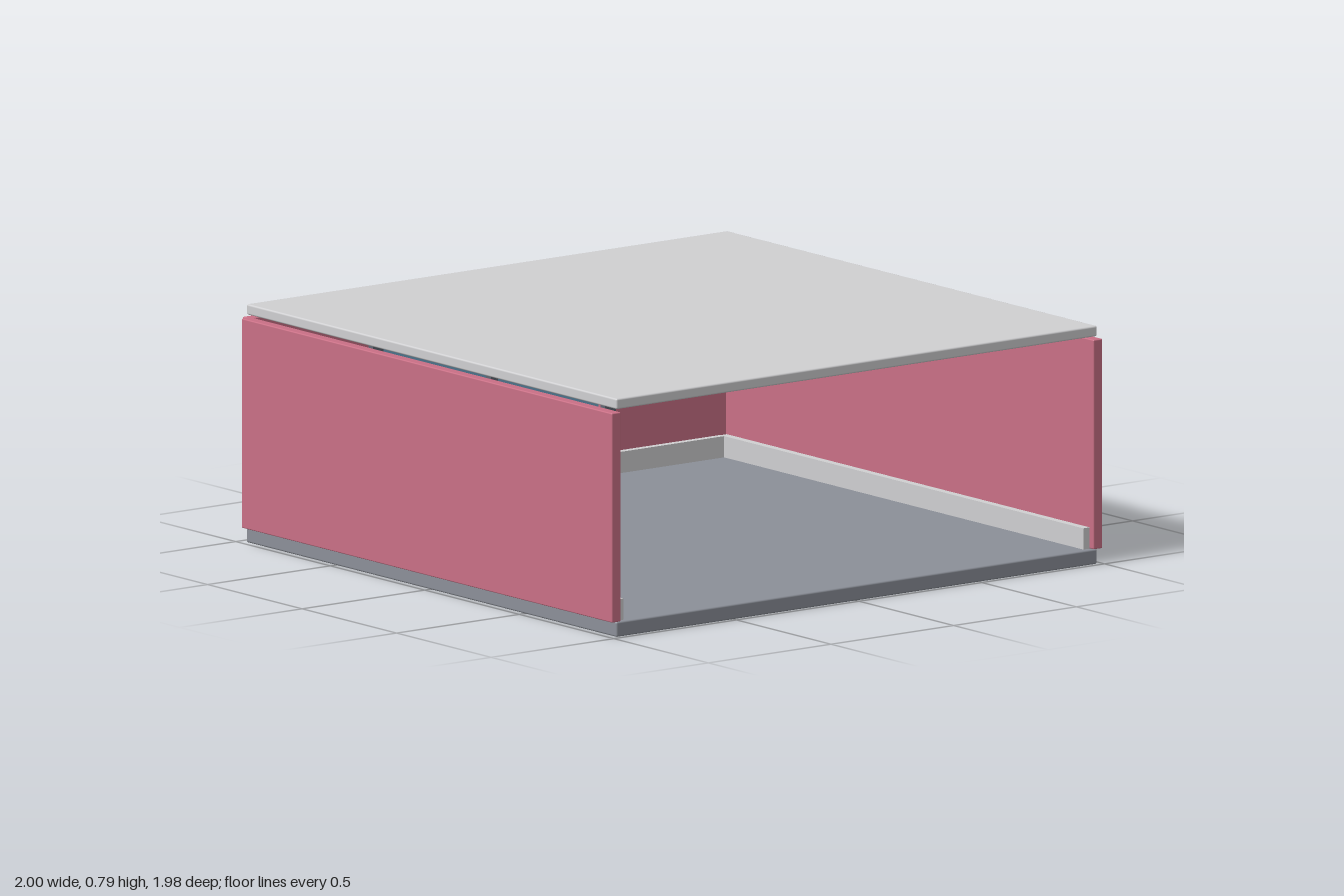
import * as THREE from 'three';
import { RoundedBoxGeometry } from 'three/addons/geometries/RoundedBoxGeometry.js';

const paint = (name, color) => {
  const m = new THREE.MeshStandardMaterial({ color });
  m.name = name;
  return m;
};

export function createModel() {
  const wall = paint('rose wall', 0xca7086);
  const light = paint('pale grey', 0xd0d0d2);
  const floorGrey = paint('floor grey', 0x8c9099);
  const frameGrey = paint('frame grey', 0x5e6773);
  const glass = paint('window blue', 0x72a9ca);

  const model = new THREE.Group();
  model.name = 'room';

  // Box between two corners, with a slight bevel if asked for
  const box = (name, mat, [x0, x1], [y0, y1], [z0, z1], bevel = 0) => {
    const size = [x1 - x0, y1 - y0, z1 - z0];
    const geo = bevel ? new RoundedBoxGeometry(...size, 2, bevel) : new THREE.BoxGeometry(...size);
    const mesh = new THREE.Mesh(geo, mat);
    mesh.name = name;
    mesh.position.set((x0 + x1) / 2, (y0 + y1) / 2, (z0 + z1) / 2);
    model.add(mesh);
  };
  const mirrored = (name, mat, [x0, x1], y, z, bevel) => {
    box(name + 'Left', mat, [x0, x1], y, z, bevel);
    box(name + 'Right', mat, [-x1, -x0], y, z, bevel);
  };

  // Floor and ceiling slabs
  box('floor', floorGrey, [-0.98, 0.98], [0, 0.05], [-0.97, 0.988], 0.006);
  box('ceiling', light, [-0.98, 0.98], [0.75, 0.785], [-0.97, 0.988], 0.006);

  // Side walls
  mirrored('sideWall', wall, [0.963, 1], [0.05, 0.74], [-0.97, 0.99], 0.004);

  // Back wall: two outer panels and pieces above and below the window
  const backZ = [-0.99, -0.953];
  mirrored('backPanel', wall, [0.453, 0.98], [0.05, 0.74], backZ, 0.004);
  box('wallBelowWindow', wall, [-0.45, 0.45], [0.05, 0.255], backZ, 0.004);
  box('wallAboveWindow', wall, [-0.45, 0.45], [0.59, 0.74], backZ, 0.004);

  // Window pane and inner frame
  box('windowPane', glass, [-0.453, 0.453], [0.25, 0.595], [-0.976, -0.968]);
  const frameZ = [-0.955, -0.93];
  mirrored('frameSide', frameGrey, [0.452, 0.495], [0.18, 0.64], frameZ);
  box('frameTop', frameGrey, [-0.453, 0.453], [0.61, 0.652], frameZ);
  box('frameBottom', frameGrey, [-0.453, 0.453], [0.163, 0.205], frameZ);
  box('mullion', frameGrey, [-0.014, 0.014], [0.205, 0.61], frameZ);

  // Skirting boards
  mirrored('sideSkirting', light, [0.937, 0.963], [0.05, 0.12], [-0.95, 0.97]);
  box('backSkirting', light, [-0.937, 0.937], [0.05, 0.12], [-0.955, -0.93]);

  // Flat ceiling panel
  box('ceilingPanel', frameGrey, [-0.33, 0.33], [0.724, 0.746], [-0.33, 0.04]);

  return model;
}
